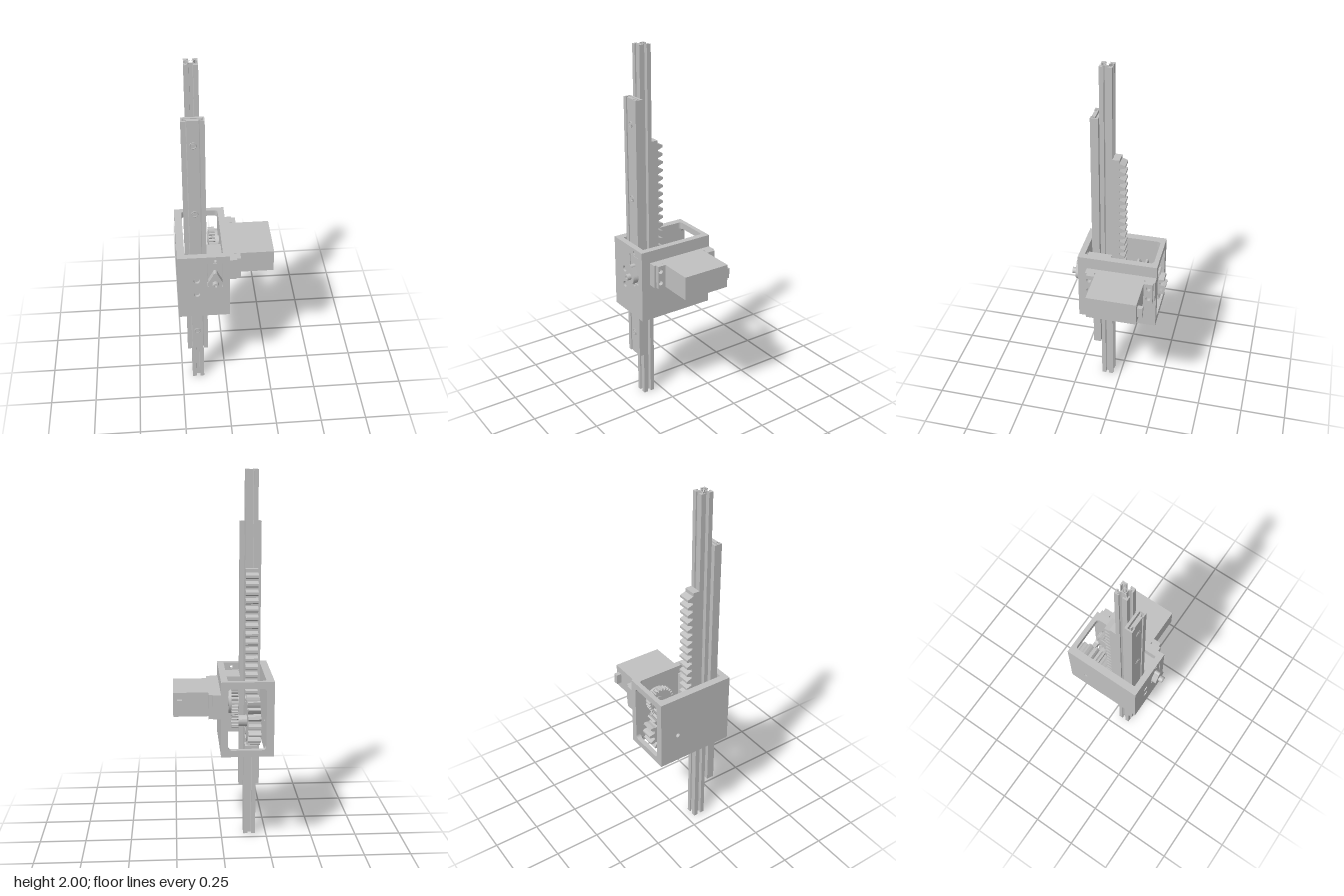
import * as THREE from 'three';

const grey = new THREE.MeshStandardMaterial({ color: 0xc0c0c0 });
grey.name = 'machined grey';

// Outline from points, with optional circular holes [x, y, r]
function outline(points, holes = []) {
  const s = new THREE.Shape(points.map(([x, y]) => new THREE.Vector2(x, y)));
  for (const [x, y, r] of holes) s.holes.push(new THREE.Path().absarc(x, y, r, 0, Math.PI * 2, true));
  return s;
}
const rect = (x0, x1, y0, y1, holes) => outline([[x0, y0], [x1, y0], [x1, y1], [x0, y1]], holes);

function disc(r, bore) {
  const s = new THREE.Shape().absarc(0, 0, r, 0, Math.PI * 2);
  s.holes.push(new THREE.Path().absarc(0, 0, bore, 0, Math.PI * 2, true));
  return s;
}

function roundHole(x0, x1, y0, y1, r) {
  const p = new THREE.Path();
  p.absarc(x1 - r, y1 - r, r, 0, Math.PI / 2);
  p.absarc(x0 + r, y1 - r, r, Math.PI / 2, Math.PI);
  p.absarc(x0 + r, y0 + r, r, Math.PI, Math.PI * 1.5);
  p.absarc(x1 - r, y0 + r, r, Math.PI * 1.5, Math.PI * 2);
  return p;
}

const extrude = (shape, depth) => new THREE.ExtrudeGeometry(shape, { depth, bevelEnabled: false, curveSegments: 12 });
// Extrusions along each axis; the shape lies in (x,y), (x,-z) or (-z,y)
const alongZ = (shape, z0, z1) => extrude(shape, z1 - z0).translate(0, 0, z0);
const alongY = (shape, y0, y1) => extrude(shape, y1 - y0).rotateX(-Math.PI / 2).translate(0, y0, 0);
const alongX = (shape, x0, x1) => extrude(shape, x1 - x0).rotateY(Math.PI / 2).translate(x0, 0, 0);

const box = (x0, x1, y0, y1, z0, z1) =>
  new THREE.BoxGeometry(x1 - x0, y1 - y0, z1 - z0).translate((x0 + x1) / 2, (y0 + y1) / 2, (z0 + z1) / 2);
const rodX = (r, x0, x1, y, z) =>
  new THREE.CylinderGeometry(r, r, x1 - x0, 28).rotateZ(Math.PI / 2).translate((x0 + x1) / 2, y, z);
const rodZ = (r, z0, z1, x, y) =>
  new THREE.CylinderGeometry(r, r, z1 - z0, 24).rotateX(Math.PI / 2).translate(x, y, (z0 + z1) / 2);

// Spur gear with trapezoidal teeth and a bore, axis along x
function gear(teeth, outer, root, x0, x1, y, z, phase) {
  const pts = [], step = Math.PI * 2 / teeth, mid = (root + outer) / 2;
  for (let i = 0; i < teeth; i++) {
    for (const [f, r] of [[-0.32, root], [-0.24, mid], [-0.11, outer], [0.11, outer], [0.24, mid], [0.32, root]]) {
      const a = (i + f + phase) * step;
      pts.push([Math.cos(a) * r, Math.sin(a) * r]);
    }
  }
  return alongX(outline(pts, [[0, 0, 0.012]]), x0, x1).translate(0, y, z);
}

export function createModel() {
  const model = new THREE.Group();
  let group = model;
  const section = (name) => {
    group = new THREE.Group();
    group.name = name;
    model.add(group);
  };
  const add = (name, geometry) => {
    const m = new THREE.Mesh(geometry, grey);
    m.name = name;
    group.add(m);
  };

  // Housing: four walls, open at top and bottom, window at the back
  section('housing');
  const Y0 = 0.562, Y1 = 0.962, axleY = 0.727, axleZ = -0.125;
  const front = rect(-0.258, 0.015, Y0, Y1,
    [[-0.159, 0.808, 0.017], [-0.159, 0.716, 0.017], [-0.063, 0.936, 0.009], [-0.063, 0.75, 0.009]]);
  front.holes.push(roundHole(-0.104, -0.022, 0.762, 0.92, 0.004));
  add('frontWall', alongZ(front, 0.171, 0.203));
  const back = rect(-0.258, 0.015, Y0, Y1);
  back.holes.push(roundHole(-0.218, -0.02, 0.597, 0.927, 0.02));
  add('backFrame', alongZ(back, -0.229, -0.204));
  const side = () => rect(-0.171, 0.204, Y0, Y1, [[-axleZ, axleY, 0.012]]);
  add('rightWall', alongX(side(), -0.258, -0.218));
  add('leftWall', alongX(side(), -0.02, 0.015));
  for (const [x, s] of [[-0.218, 1], [-0.02, -1]]) {
    const fillet = new THREE.Shape();
    fillet.moveTo(x, 0.204);
    fillet.lineTo(x + s * 0.02, 0.204);
    fillet.quadraticCurveTo(x, 0.204, x, 0.184);
    for (const y of [Y0, Y1 - 0.035]) add('cornerFillet', alongY(fillet, y, y + 0.035));
  }

  // Slotted square column, one side's points turned four times
  section('column');
  const h = 0.033, half = [[-h, h], [-0.01, h], [-0.01, h - 0.007], [-0.019, h - 0.007], [-0.019, 0.0225], [-0.0085, 0.012]];
  const sidePts = [...half, ...half.slice(1).reverse().map(([x, y]) => [-x, y])];
  const profile = [];
  for (let k = 0; k < 4; k++) {
    for (const [x, y] of sidePts) {
      let p = [x, y];
      for (let i = 0; i < k; i++) p = [p[1], -p[0]];
      profile.push(p);
    }
  }
  add('slottedColumn', alongY(outline(profile, [[0, 0, 0.0095]]), 0, 2).translate(-0.158, 0, 0.0775));

  // Linear slide: outer channel with an inner runner
  section('linearSlide');
  const w = 0.0565;
  const channel = [[-w, 0], [w, 0], [w, -0.042], [0.033, -0.042], [0.033, -0.036], [w - 0.007, -0.036], [w - 0.007, -0.012],
    [-w + 0.007, -0.012], [-w + 0.007, -0.036], [-0.033, -0.036], [-0.033, -0.042], [-w, -0.042]];
  add('outerChannel', alongY(outline(channel), 0.27, 1.735).translate(-0.1585, 0, 0.1105));
  const runner = [[-0.042, -0.019], [0.042, -0.019], [0.042, -0.025], [0.029, -0.029], [0.029, -0.038],
    [-0.029, -0.038], [-0.029, -0.029], [-0.042, -0.025]];
  add('innerRunner', alongY(outline(runner), 0.27, 1.735).translate(-0.1585, 0, 0.1105));
  for (const y of [0.4, 1.2, 1.6]) {
    add('screwRing', new THREE.TorusGeometry(0.016, 0.003, 6, 24).translate(-0.159, y, 0.148));
    add('slideScrew', rodZ(0.01, 0.14, 0.151, -0.159, y));
  }
  for (const y of [0.716, 0.808]) add('housingScrew', rodZ(0.013, 0.148, 0.194, -0.159, y));

  // Rack: teeth face the back
  section('rack');
  const pitch = 0.044, rack = [[-0.0445, 0.5], [-0.0075, 0.5]];
  for (let i = 0; i < 22; i++) {
    const y = 0.541 + i * pitch;
    rack.push([-0.0075, y - 0.017], [0.023, y - 0.006], [0.023, y + 0.006], [-0.0075, y + 0.017]);
  }
  rack.push([-0.0075, 1.5], [-0.0445, 1.5]);
  add('toothedRack', alongX(outline(rack), -0.191, -0.125));

  // Gear train, bored through along the axle
  section('gears');
  add('driveGear', gear(17, 0.13, 0.1, -0.19, -0.124, axleY, axleZ, 0));
  add('driveHub', alongX(disc(0.029, 0.012), -0.124, -0.08).translate(0, axleY, axleZ - 0.003));
  add('reductionGear', gear(12, 0.037, 0.026, -0.08, -0.043, axleY, axleZ, 0));
  add('servoPinion', gear(24, 0.077, 0.065, -0.077, -0.043, 0.829, -0.104, 0.5));
  add('pinionCap', rodX(0.037, -0.082, -0.077, 0.829, -0.127));
  add('servoHorn', rodX(0.066, -0.043, -0.028, 0.829, -0.105));
  add('servoHub', rodX(0.03, -0.028, -0.015, 0.829, -0.105));

  // Servo with mounting ears on two standoffs
  section('servo');
  const S0 = 0.767, S1 = 0.895;
  add('servoBody', box(0.015, 0.258, S0, S1, -0.171, 0.097));
  const ears = [];
  for (const z of [0.197, -0.127]) for (const y of [0.798, 0.864]) ears.push([z, y, 0.013]);
  add('servoEars', alongX(rect(-0.142, 0.22, S0, S1, ears), 0.057, 0.078));
  for (const [outer0, outer1, web0, web1] of [[-0.229, -0.176, -0.176, -0.171], [0.101, 0.153, 0.097, 0.101]]) {
    add('standoff', box(0.015, 0.057, S0, S1, outer0, outer1));
    add('standoffWeb', box(0.015, 0.045, S0, S1, web0, web1));
  }
  add('cableOutlet', box(0.213, 0.238, 0.804, 0.86, -0.199, -0.171));

  // Sensor block behind the front wall, with its round stem
  section('sensor');
  add('sensorBody', box(-0.102, -0.022, 0.766, 0.918, 0.041, 0.171));
  add('sensorFace', box(-0.1, -0.024, 0.766, 0.916, 0.171, 0.2));
  const collar = new THREE.Shape();
  collar.moveTo(-0.012, 0.06);
  collar.lineTo(-0.034, 0.018);
  collar.absarc(0, 0, 0.038, Math.PI * 0.84, Math.PI * 2.16);
  collar.lineTo(0.012, 0.06);
  collar.absarc(0, 0.06, 0.012, 0, Math.PI);
  add('collar', alongZ(collar, 0.19, 0.23).translate(-0.063, 0.803, 0));
  add('stem', alongZ(disc(0.017, 0.007), 0.23, 0.253).translate(-0.063, 0.807, 0));
  return model;
}
